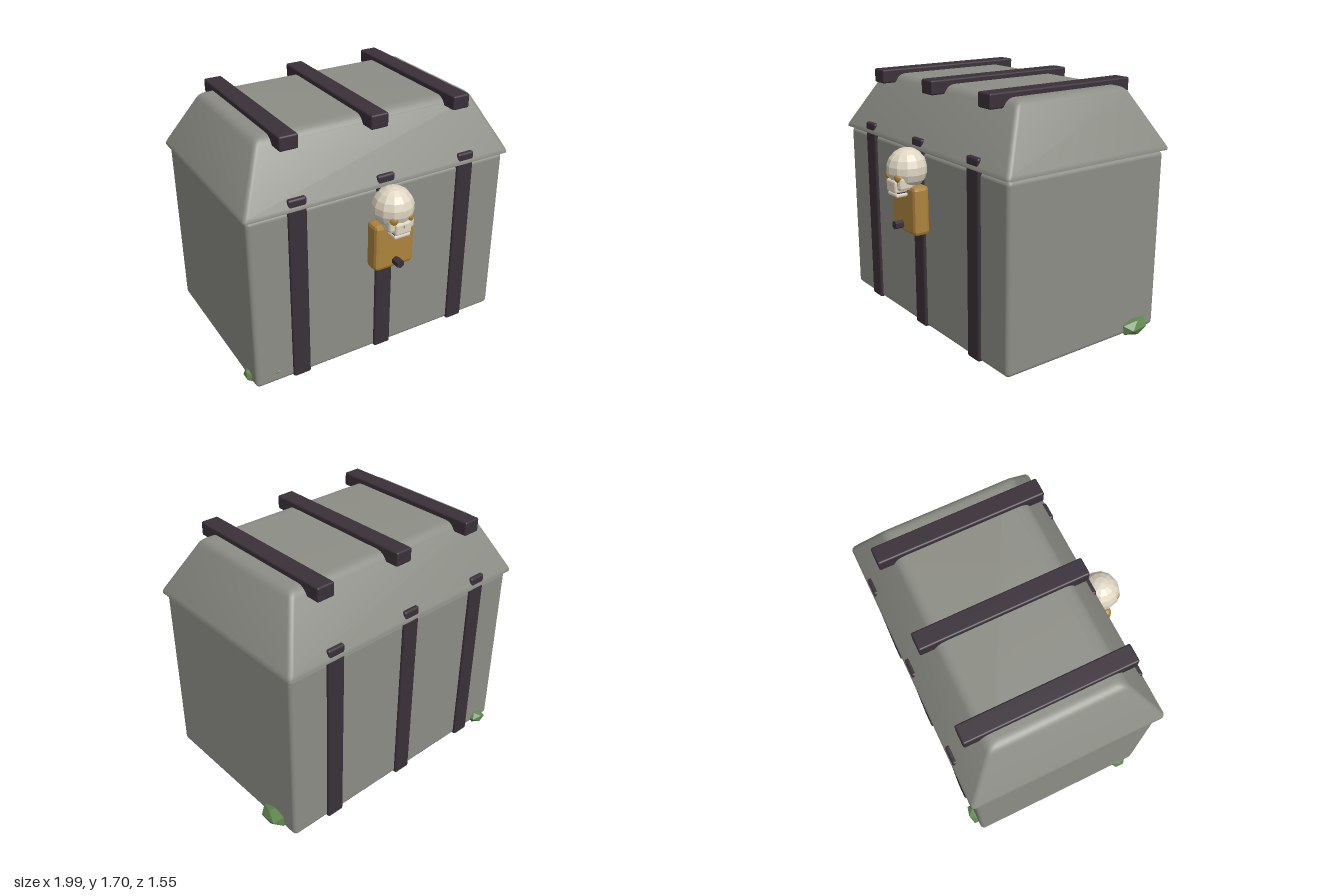
import * as THREE from 'three';
import { toCreasedNormals } from 'three/addons/utils/BufferGeometryUtils.js';
import { RoundedBoxGeometry } from 'three/addons/geometries/RoundedBoxGeometry.js';

const CX = -0.0225, CZ = -0.09; // centre of the chest

const paint = (name, color, flatShading = false) => {
  const m = new THREE.MeshStandardMaterial({ color, flatShading });
  m.name = name;
  return m;
};

// Rounded box given by its min and max corners
function box(name, mat, [x0, y0, z0], [x1, y1, z1], r, segments = 3) {
  const mesh = new THREE.Mesh(new RoundedBoxGeometry(x1 - x0, y1 - y0, z1 - z0, segments, r), mat);
  mesh.position.set((x0 + x1) / 2, (y0 + y1) / 2, (z0 + z1) / 2);
  mesh.name = name;
  return mesh;
}

function shape(name, mat, geometry, pos, scale = [1, 1, 1], rot = [0, 0, 0]) {
  const mesh = new THREE.Mesh(geometry, mat);
  mesh.position.set(...pos);
  mesh.scale.set(...scale);
  mesh.rotation.set(...rot);
  mesh.name = name;
  return mesh;
}

// Hipped lid: rounded-rectangle loops stacked along a profile of [inset, y]
function lidGeometry() {
  const hx = 0.9725, hz = 0.664, r = 0.03, steps = 4, n = 4 * (steps + 1);
  const profile = [[0.1, 1.25], [0, 1.256], [0, 1.264], [0.04, 1.285]];
  const round = new THREE.QuadraticBezierCurve(
    new THREE.Vector2(0.89, 1.62), new THREE.Vector2(1, 1.665), new THREE.Vector2(1.24, 1.665));
  for (const p of round.getPoints(6)) profile.push([p.x, p.y]);

  const pos = [], idx = [];
  for (const [f, y] of profile) {
    const ax = hx - 0.2 * f - r, az = hz - 0.222 * f - r;
    for (let c = 0; c < 4; c++) {
      const sx = c === 0 || c === 3 ? 1 : -1, sz = c < 2 ? 1 : -1;
      for (let s = 0; s <= steps; s++) {
        const a = (c + s / steps) * Math.PI / 2;
        pos.push(CX + sx * ax + r * Math.cos(a), y, CZ + sz * az + r * Math.sin(a));
      }
    }
  }
  for (let k = 0; k < profile.length - 1; k++) {
    for (let i = 0; i < n; i++) {
      const a = k * n + i, b = k * n + (i + 1) % n;
      idx.push(a, a + n, b, b, a + n, b + n);
    }
  }
  // Flat caps
  const top = (profile.length - 1) * n;
  for (let i = 1; i < n - 1; i++) {
    idx.push(0, i, i + 1);
    idx.push(top, top + i + 1, top + i);
  }
  const g = new THREE.BufferGeometry();
  g.setAttribute('position', new THREE.Float32BufferAttribute(pos, 3));
  g.setIndex(idx);
  return toCreasedNormals(g, 0.6);
}

export function createModel() {
  const stone = paint('grey stone', 0x8c8d85);
  const iron = paint('dark iron', 0x3a3039);
  const brass = paint('aged brass', 0xac823b, true);
  const bone = paint('bone', 0xded5c1, true);
  const moss = paint('moss green', 0x5f8750, true);

  const model = new THREE.Group();
  model.name = 'chest';

  // Chest body and lid
  model.add(box('body', stone, [-0.97, 0.012, -0.727], [0.925, 1.246, 0.548], 0.03));
  model.add(shape('lid', stone, lidGeometry(), [0, 0, 0]));

  // Iron straps around the body and bars across the lid
  for (const x of [-0.645, -0.025, 0.595]) {
    model.add(box('strap', iron, [x - 0.0625, 0.014, -0.747], [x + 0.0625, 1.33, 0.567], 0.014, 2));
    model.add(box('lidBar', iron, [x - 0.0625, 1.605, -0.655], [x + 0.0625, 1.7, 0.48], 0.012, 2));
  }

  // Lock plate with its keyhole stud
  const lock = new THREE.Group();
  lock.name = 'lock';
  lock.add(box('lockPlate', brass, [-0.167, 0.715, 0.565], [0.123, 1.045, 0.68], 0.025, 1));
  lock.add(shape('lockStud', iron, toCreasedNormals(new THREE.CylinderGeometry(0.029, 0.029, 0.06, 6), 0.5),
    [-0.024, 0.775, 0.72], [1, 1, 1], [Math.PI / 2, 0, 0]));
  model.add(lock);

  // Skull ornament
  const skull = new THREE.Group();
  skull.name = 'skull';
  skull.position.set(-0.022, 1.145, 0.64);
  skull.add(shape('cranium', bone, new THREE.SphereGeometry(0.136, 12, 9), [0, 0, 0]));
  skull.add(box('cheeks', bone, [-0.092, -0.125, -0.02], [0.092, -0.03, 0.112], 0.02, 1));
  skull.add(box('upperTeeth', bone, [-0.058, -0.142, 0.02], [0.058, -0.06, 0.128], 0.012, 1));
  skull.add(box('mouthGap', iron, [-0.054, -0.146, 0.02], [0.054, -0.138, 0.108], 0.002, 1));
  skull.add(box('jaw', bone, [-0.06, -0.172, 0.03], [0.06, -0.145, 0.118], 0.01, 1));
  for (const s of [-1, 1]) {
    skull.add(shape('eye', brass, new THREE.IcosahedronGeometry(1, 1),
      [s * 0.064, -0.042, 0.108], [0.028, 0.029, 0.016], [0.15, s * 0.5, s * 0.3]));
  }
  skull.add(shape('nose', brass, new THREE.OctahedronGeometry(1), [0, -0.088, 0.122], [0.013, 0.026, 0.012]));
  model.add(skull);

  // Moss clumps at the foot: position, radii, rotation
  const clumps = [
    [[0.937, 0.061, -0.528], [0.065, 0.062, 0.115], [0.1, 0, 0]],
    [[-0.842, 0.042, -0.732], [0.078, 0.044, 0.05], [0, 0, 0.2]],
    [[-0.962, 0.045, 0.425], [0.042, 0.05, 0.06], [0, 0, 0.2]],
    [[-0.82, 0.092, 0.543], [0.028, 0.01, 0.014], [0, 0, 0.35]],
  ];
  const clump = new THREE.IcosahedronGeometry(1, 0);
  for (const [p, r, a] of clumps) model.add(shape('mossClump', moss, clump, p, r, a));

  return model;
}
